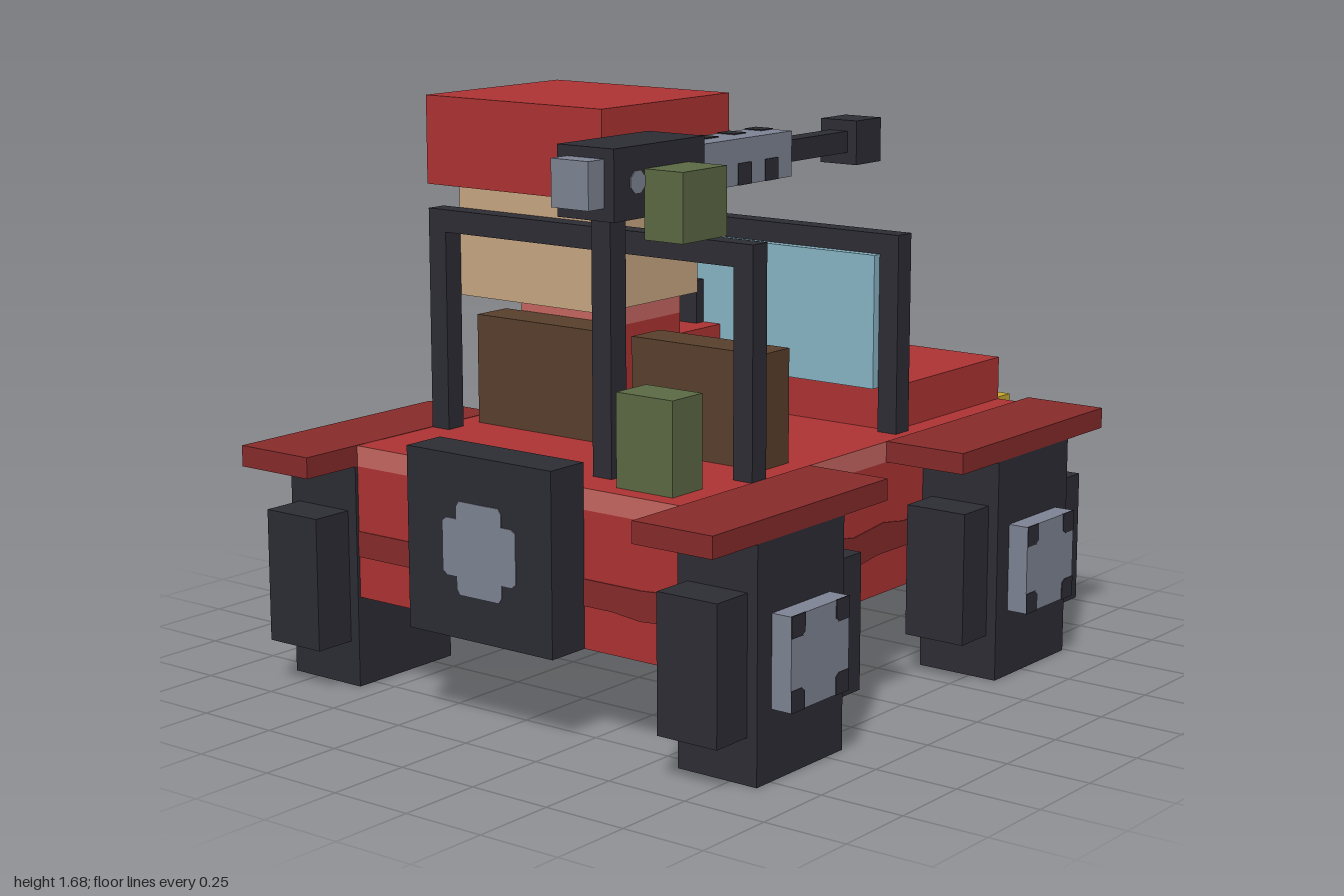
import * as THREE from 'three';

const mat = (name, color) => {
  const m = new THREE.MeshStandardMaterial({ color });
  m.name = name;
  return m;
};

export function createModel() {
  const red = mat('red', 0xb03434), darkRed = mat('darkRed', 0x882b2b), lightRed = mat('lightRed', 0xc96862);
  const tan = mat('tan', 0xcba984), brown = mat('brown', 0x5a402d), blue = mat('blue', 0x8ab7c8);
  const grey = mat('grey', 0x808596), dark = mat('dark', 0x2d2d35);
  const green = mat('green', 0x5d6b45), yellow = mat('yellow', 0xc9aa31);
  const root = new THREE.Group();
  root.name = 'vehicle';

  const group = (name) => {
    const g = new THREE.Group();
    g.name = name;
    root.add(g);
    return g;
  };
  // Box given by its extents on each axis
  const box = (parent, name, m, x0, x1, y0, y1, z0, z1) => {
    const mesh = new THREE.Mesh(new THREE.BoxGeometry(x1 - x0, y1 - y0, z1 - z0), m);
    mesh.position.set((x0 + x1) / 2, (y0 + y1) / 2, (z0 + z1) / 2);
    mesh.name = name;
    parent.add(mesh);
    return mesh;
  };
  // Thin painted plate from a 2D outline, placed by position and rotation
  const plate = (parent, name, m, pts, pos, rot = [0, 0, 0]) => {
    const shape = new THREE.Shape(pts.map((p) => new THREE.Vector2(...p)));
    const mesh = new THREE.Mesh(new THREE.ExtrudeGeometry(shape, { depth: 0.004, bevelEnabled: false }), m);
    mesh.position.set(...pos);
    mesh.rotation.set(...rot);
    mesh.name = name;
    parent.add(mesh);
  };

  // Body tub with a light edge band and a red deck
  const body = group('body');
  box(body, 'tub', red, -0.58, 0.58, 0.265, 0.65, -0.87, 0.8);
  box(body, 'edgeBand', [lightRed, lightRed, red, red, lightRed, lightRed], -0.58, 0.58, 0.65, 0.71, -0.87, 0.8);
  box(body, 'hood', red, -0.515, 0.515, 0.71, 0.84, -0.87, -0.29);

  // Wavy dark stripes on the sides and the spare wheel end
  const wave = [[-0.8, 0.38], [-0.1, 0.38], [0, 0.37], [0.12, 0.385], [0.87, 0.38],
    [0.87, 0.46], [0.25, 0.46], [0.15, 0.475], [0, 0.46], [-0.1, 0.475], [-0.8, 0.46]];
  plate(body, 'sideStripe', darkRed, wave, [0.579, 0, 0], [0, Math.PI / 2, 0]);
  plate(body, 'sideStripe', darkRed, wave.map(([u, v]) => [-u, v]), [-0.579, 0, 0], [0, -Math.PI / 2, 0]);
  plate(body, 'endStripe', darkRed, [[-0.58, 0.385], [0.35, 0.385], [0.45, 0.375], [0.58, 0.385],
    [0.58, 0.48], [0.52, 0.465], [0.45, 0.46], [-0.58, 0.46]], [0, 0, 0.799]);
  // Uneven drips on the hood end
  for (let i = 0; i < 9; i++) {
    const x = -0.48 + i * 0.12, top = [0.5, 0.56, 0.48, 0.54, 0.58][i % 5];
    const w = 0.035;
    plate(body, 'drip', darkRed, [[-w, 0.3], [w, 0.3], [w, top - 0.03], [w / 2, top], [-w / 2, top], [-w, top - 0.03]],
      [x, 0, -0.874]);
  }
  box(body, 'dripBand', darkRed, -0.58, 0.58, 0.36, 0.44, -0.873, -0.86);

  // Painted star on the hood
  const half = [[0, 0.17], [0.032, 0.17], [0.032, 0.125], [0.06, 0.1], [0.06, 0.045], [0.16, 0.045], [0.16, -0.012],
    [0.125, -0.012], [0.1, -0.045], [0.1, -0.15], [0.04, -0.15], [0.04, -0.105], [0, -0.105]];
  const star = [...half.slice(1).reverse(), ...half.slice(1).map(([u, v]) => [-u, v])];
  star.splice(half.length - 1, 0, [0, 0.17]);
  plate(body, 'star', blue, star.reverse(), [-0.035, 0.839, -0.57], [-Math.PI / 2, 0, 0]);
  for (const [x0, x1, z0, z1] of [[-0.195, -0.155, -0.575, -0.55], [0.085, 0.125, -0.575, -0.55], [-0.075, 0.005, -0.475, -0.445]])
    box(body, 'starFringe', tan, x0, x1, 0.838, 0.8415, z0, z1);

  // Bumper and headlights
  box(body, 'bumper', dark, -0.645, 0.645, 0.263, 0.39, -1, -0.937);
  box(body, 'headlight', yellow, 0.325, 0.515, 0.585, 0.715, -0.937, -0.865);
  box(body, 'headlight', yellow, -0.515, -0.325, 0.585, 0.715, -0.937, -0.865);

  // Wheels with hubs and mudguards
  for (const s of [-1, 1]) {
    for (const [zc, g0, g1] of [[0.617, 0.22, 1], [-0.547, -0.94, -0.16]]) {
      const wheel = group('wheel');
      const side = (name, m, x0, x1, ...r) => box(wheel, name, m, Math.min(s * x0, s * x1), Math.max(s * x0, s * x1), ...r);
      side('tyre', dark, 0.58, 0.838, 0, 0.65, zc - 0.193, zc + 0.193);
      side('tyreTread', dark, 0.612, 0.806, 0.13, 0.517, zc - 0.322, zc + 0.322);
      side('hub', grey, 0.83, 0.9, 0.197, 0.455, zc - 0.13, zc + 0.13);
      for (const a of [-1, 1]) for (const b of [-1, 1]) {
        const k = 0.13, c = 0.07, d = 0.05;
        const pts = [[k, k], [c, k], [c, k - d], [c + 0.015, c], [k - d, c], [k, c]].map(([u, v]) => [a * u, b * v]);
        plate(wheel, 'hubCorner', dark, pts, [s * 0.898, 0.326, zc], [0, s * Math.PI / 2, 0]);
      }
      side('mudguard', darkRed, 0.58, 0.838, 0.65, 0.711, g0, g1);
    }
  }

  // Spare wheel
  const spare = group('spareWheel');
  box(spare, 'spareTyre', dark, -0.26, 0.255, 0.265, 0.78, 0.8, 0.934);
  const arm = [[0.13, -0.07], [0.13, 0.07], [0.115, 0.08], [0.08, 0.08], [0.08, 0.115], [0.07, 0.13]];
  const cross = [0, 1, 2, 3].flatMap((q) => arm.map(([u, v]) => {
    const c = [1, 0, -1, 0][q], n = [0, 1, 0, -1][q];
    return [u * c - v * n, u * n + v * c];
  }));
  plate(spare, 'spareHub', grey, cross, [0, 0.52, 0.932]);

  // Windscreen
  const screen = group('windscreen');
  box(screen, 'glass', blue, -0.485, 0.485, 0.84, 1.23, -0.255, -0.228);
  for (const s of [-1, 1]) box(screen, 'screenPost', dark, s * 0.517 - 0.032, s * 0.517 + 0.032, 0.71, 1.29, -0.32, -0.255);
  box(screen, 'screenTop', dark, -0.485, 0.485, 1.23, 1.29, -0.32, -0.255);

  // Roll bar
  const roll = group('rollBar');
  for (const s of [-1, 1]) box(roll, 'rollPost', dark, s * 0.548 - 0.032, s * 0.548 + 0.032, 0.71, 1.29, 0.422, 0.485);
  box(roll, 'rollTop', dark, -0.58, 0.58, 1.29, 1.355, 0.422, 0.485);

  // Seats and steering wheel
  const cabin = group('cabin');
  box(cabin, 'seat', brown, 0.063, 0.515, 0.71, 1.033, 0.228, 0.355);
  box(cabin, 'seat', brown, -0.515, -0.065, 0.71, 1.033, 0.228, 0.355);
  box(cabin, 'steeringWheel', dark, -0.42, -0.13, 0.84, 1.1, -0.228, -0.193);

  // Driver
  const driver = group('driver');
  box(driver, 'torso', red, -0.455, -0.065, 0.71, 1.033, -0.03, 0.228);
  box(driver, 'collar', lightRed, -0.455, -0.065, 1.033, 1.1, -0.03, 0.228);
  box(driver, 'rightArm', red, -0.52, -0.39, 0.84, 0.97, -0.228, 0.13);
  box(driver, 'leftArm', red, -0.195, -0.067, 0.84, 0.97, -0.228, 0);
  box(driver, 'rightHand', tan, -0.515, -0.39, 0.845, 0.965, -0.29, -0.228);
  box(driver, 'leftHand', tan, -0.195, -0.07, 0.845, 0.965, -0.29, -0.228);
  box(driver, 'head', tan, -0.517, 0, 1.1, 1.425, -0.03, 0.422);
  for (const x of [-0.39, -0.13]) box(driver, 'eye', dark, x - 0.045, x + 0.045, 1.29, 1.36, -0.034, -0.028);
  box(driver, 'mouth', brown, -0.32, -0.195, 1.13, 1.2, -0.034, -0.028);
  box(driver, 'hat', red, -0.583, 0.065, 1.425, 1.68, -0.094, 0.485);
  box(driver, 'goggleStrap', brown, -0.517, 0, 1.455, 1.585, -0.16, -0.094);
  for (const x of [-0.39, -0.13]) box(driver, 'goggleLens', blue, x - 0.097, x + 0.097, 1.49, 1.555, -0.228, -0.16);

  // Mounted gun on its post
  const gun = group('mountedGun');
  box(gun, 'gunPost', dark, 0.19, 0.255, 0.71, 1.42, 0.617, 0.682);
  box(gun, 'receiver', dark, 0.127, 0.32, 1.42, 1.614, 0.357, 0.745);
  box(gun, 'rearGrip', grey, 0.16, 0.287, 1.455, 1.585, 0.745, 0.81);
  plate(gun, 'bolt', grey, [...Array(8)].map((_, i) => {
    const a = (i + 0.5) * Math.PI / 4;
    return [0.033 * Math.cos(a), 0.033 * Math.sin(a)];
  }), [0.319, 1.518, 0.647], [0, Math.PI / 2, 0]);
  box(gun, 'shroud', grey, 0.16, 0.287, 1.455, 1.585, -0.095, 0.357);
  for (const z of [0.26, 0.13, 0.003]) for (const x of [0.16, 0.287])
    box(gun, 'sideSlot', dark, x - 0.003, x + 0.003, 1.455, 1.517, z - 0.031, z + 0.031);
  for (const z of [-0.068, 0.06, 0.19, 0.32]) box(gun, 'topSlot', dark, 0.16, 0.22, 1.58, 1.588, z - 0.028, z + 0.028);
  box(gun, 'barrel', dark, 0.19, 0.255, 1.49, 1.553, -0.42, -0.095);
  box(gun, 'muzzle', dark, 0.16, 0.287, 1.455, 1.585, -0.547, -0.42);
  box(gun, 'ammoBox', green, 0.32, 0.448, 1.36, 1.55, 0.425, 0.617);
  box(gun, 'storageBox', green, 0.323, 0.513, 0.71, 0.97, 0.617, 0.745);

  return root;
}
